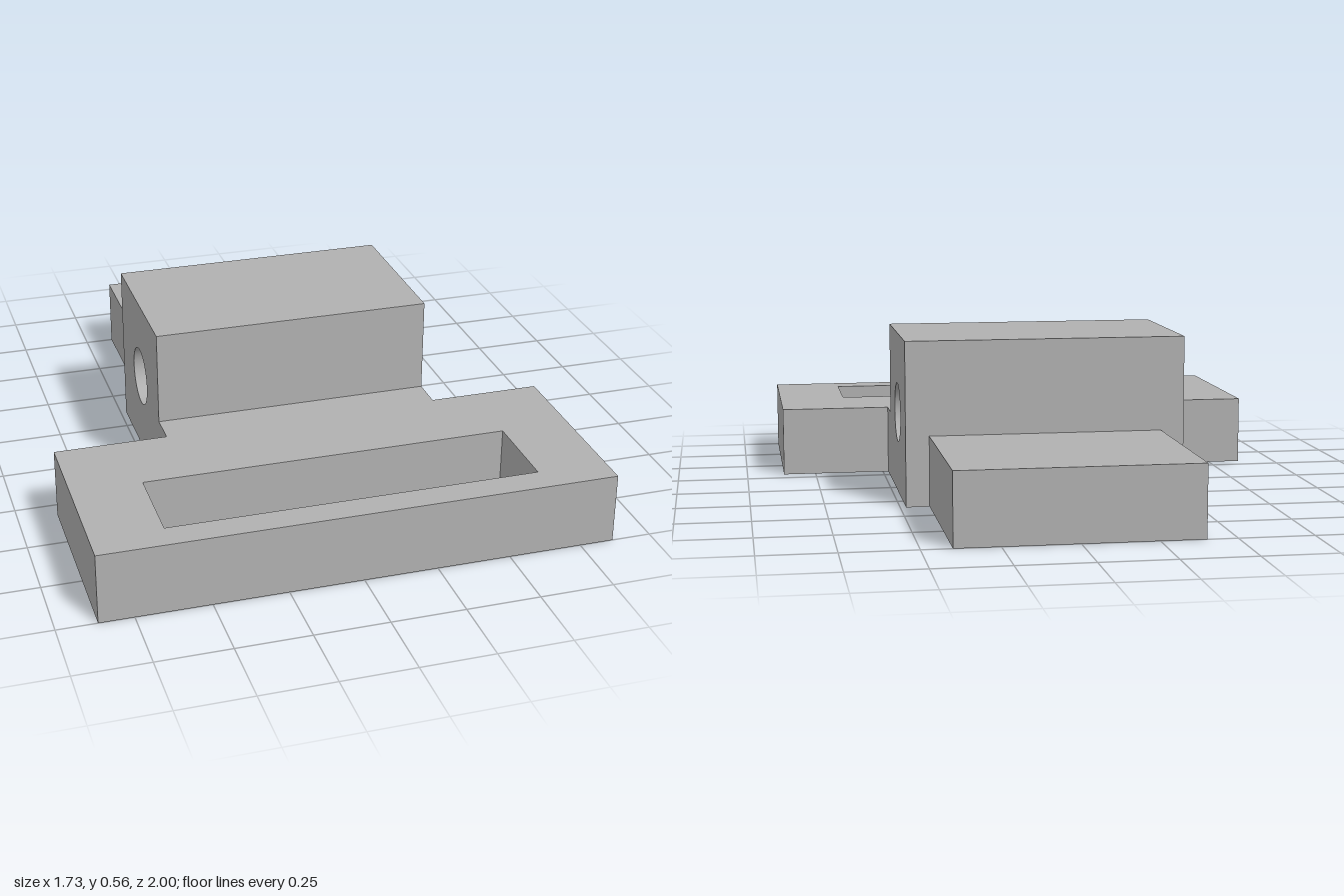
import * as THREE from 'three';
import { toCreasedNormals } from 'three/addons/utils/BufferGeometryUtils.js';

// Closed outline as [x, z] pairs, seen in plan
const outline = (points, Kind = THREE.Shape) =>
  new Kind(points.map(([x, z]) => new THREE.Vector2(x, -z)));

const rect = (halfWidth, z0, z1) => [
  [-halfWidth, z0], [-halfWidth, z1], [halfWidth, z1], [halfWidth, z0],
];

// Horizontal slab from y0 to y1, with an optional rectangular opening
function slab(points, y0, y1, opening) {
  const shape = outline(points);
  if (opening) shape.holes.push(outline(opening, THREE.Path));
  const geometry = new THREE.ExtrudeGeometry(shape, { depth: y1 - y0, bevelEnabled: false });
  return geometry.rotateX(-Math.PI / 2).translate(0, y0, 0);
}

export function createModel() {
  const group = new THREE.Group();
  const grey = new THREE.MeshStandardMaterial({ color: 0xb0b0b0 });
  grey.name = 'grey';

  const add = (name, geometry) => {
    const mesh = new THREE.Mesh(geometry, grey);
    mesh.name = name;
    group.add(mesh);
  };

  const plateTop = 0.242, blockTop = 0.565;
  const blockFront = 0.205, blockBack = -0.357, blockHalf = 0.48;
  const frontHalf = 0.866, shoulder = 0.318;

  // Wide front plate with a through slot and a narrower neck
  add('frontPlate', slab([
    [-frontHalf, 1], [frontHalf, 1], [frontHalf, shoulder], [blockHalf, shoulder],
    [blockHalf, blockFront], [-blockHalf, blockFront], [-blockHalf, shoulder], [-frontHalf, shoulder],
  ], 0, plateTop, rect(0.627, 0.602, 0.9)));

  // Raised block, cross-drilled from side to side
  const profile = new THREE.Shape();
  profile.moveTo(-blockFront, 0);
  profile.lineTo(-blockBack, 0);
  profile.lineTo(-blockBack, blockTop);
  profile.lineTo(-blockFront, blockTop);
  profile.closePath();
  const bore = new THREE.Path();
  bore.absarc(0.076, 0.284, 0.103, 0, Math.PI * 2, true);
  profile.holes.push(bore);
  const block = new THREE.ExtrudeGeometry(profile, {
    depth: blockHalf * 2, bevelEnabled: false, curveSegments: 24,
  });
  block.rotateY(Math.PI / 2).translate(-blockHalf, 0, 0);
  add('drilledBlock', toCreasedNormals(block, 0.6));

  // Rear tongue, with a shallow square pocket underneath
  const tongue = rect(0.4, -1, blockBack), pocketDepth = 0.05;
  add('tongueUnderside', slab(tongue, 0, pocketDepth, rect(0.06, -0.775, -0.655)));
  add('tongueTop', slab(tongue, pocketDepth, plateTop));

  return group;
}
